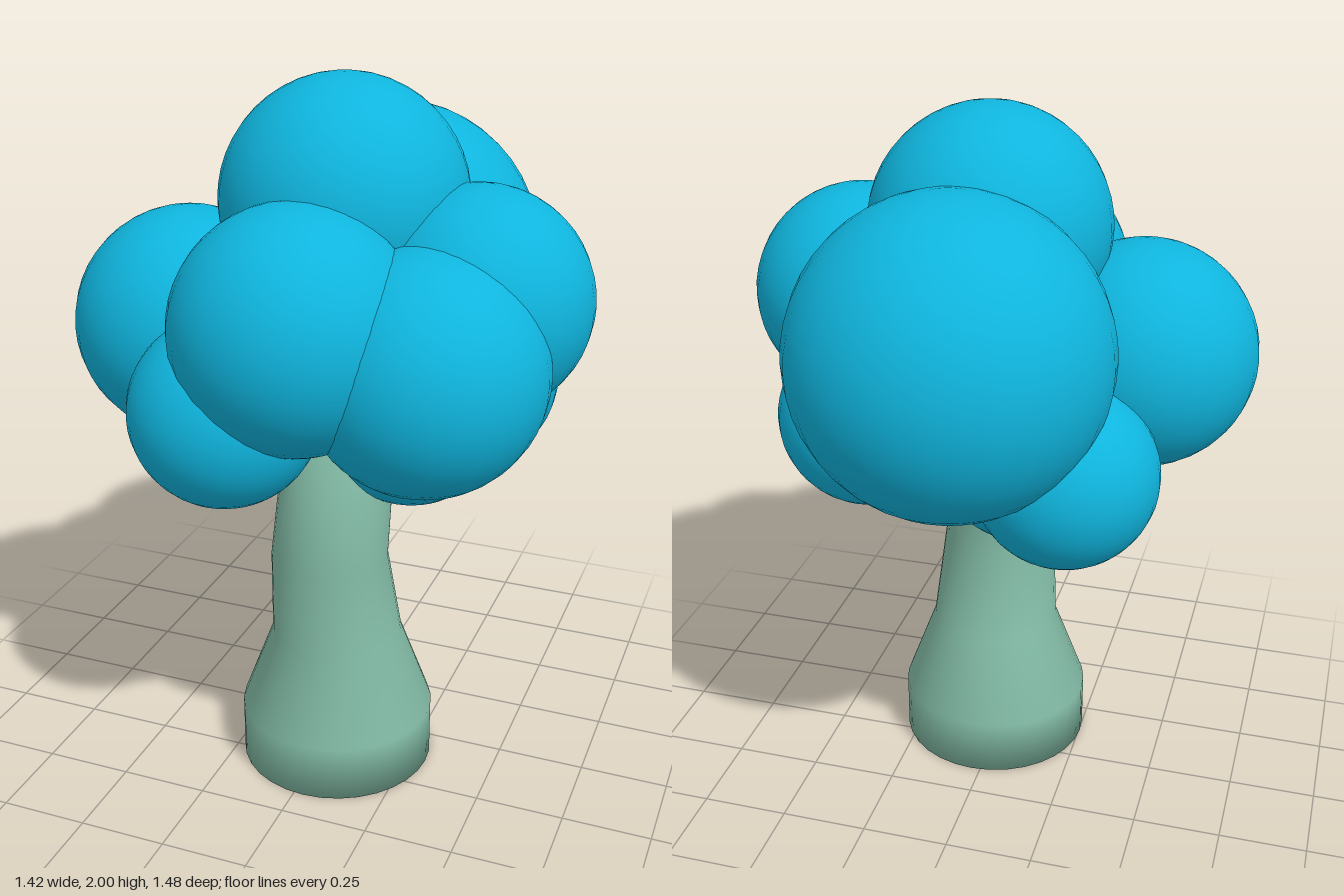
import * as THREE from 'three';
import { mergeVertices } from 'three/addons/utils/BufferGeometryUtils.js';

// Trunk cross-sections from the ground up: [y, radius, centre z]
const TRUNK_X = 0.027;
const TRUNK_RINGS = [
  [0, 0.28, 0.133],
  [0.165, 0.28, 0.133],
  [0.41, 0.188, 0.133],
  [0.68, 0.165, 0.19],
  [0.88, 0.16, 0.14],
  [1.12, 0.15, 0.085],
];

// Foliage balls: [name, x, y, z, radius]
const FOLIAGE = [
  ['topFoliage', 0.025, 1.665, 0.068, 0.335],
  ['backFoliage', 0.027, 1.43, -0.31, 0.43],
  ['rightFoliage', -0.395, 1.31, 0.155, 0.32],
  ['frontFoliage', 0.025, 1.417, 0.417, 0.323],
  ['frontLeftFoliage', 0.338, 1.315, 0.33, 0.32],
  ['leftFoliage', 0.405, 1.44, 0.095, 0.305],
  ['lowerFrontFoliage', -0.165, 1.18, 0.44, 0.255],
  ['lowerLeftFoliage', 0.325, 1.15, -0.115, 0.255],
  ['lowerBackFoliage', -0.26, 1.085, -0.21, 0.255],
  ['underLeftFoliage', 0.22, 1.085, 0.065, 0.255],
  ['underRightFoliage', -0.1, 1.045, -0.02, 0.255],
];

// Bends a capped unit cylinder so its rows follow the trunk cross-sections
function trunkGeometry() {
  const rows = TRUNK_RINGS.length - 1;
  let geometry = new THREE.CylinderGeometry(1, 1, rows, 32, rows);
  const p = geometry.attributes.position;
  for (let i = 0; i < p.count; i++) {
    const [y, r, z] = TRUNK_RINGS[Math.round(p.getY(i) + rows / 2)];
    p.setXYZ(i, TRUNK_X + p.getX(i) * r, y, z + p.getZ(i) * r);
  }
  // Weld the seam and the caps for continuous smooth shading
  geometry.deleteAttribute('uv');
  geometry.deleteAttribute('normal');
  geometry = mergeVertices(geometry, 1e-4);
  geometry.computeVertexNormals();
  return geometry;
}

export function createModel() {
  const tree = new THREE.Group();
  tree.name = 'tree';

  const bark = new THREE.MeshStandardMaterial({ color: 0x82bba5 });
  const leaves = new THREE.MeshStandardMaterial({ color: 0x0fb5de });

  const trunk = new THREE.Mesh(trunkGeometry(), bark);
  trunk.name = 'trunk';
  tree.add(trunk);

  // Crown of overlapping balls
  const crown = new THREE.Group();
  crown.name = 'crown';
  for (const [name, x, y, z, r] of FOLIAGE) {
    const ball = new THREE.Mesh(new THREE.SphereGeometry(r, 32, 24), leaves);
    ball.name = name;
    ball.position.set(x, y, z);
    crown.add(ball);
  }
  tree.add(crown);
  return tree;
}
